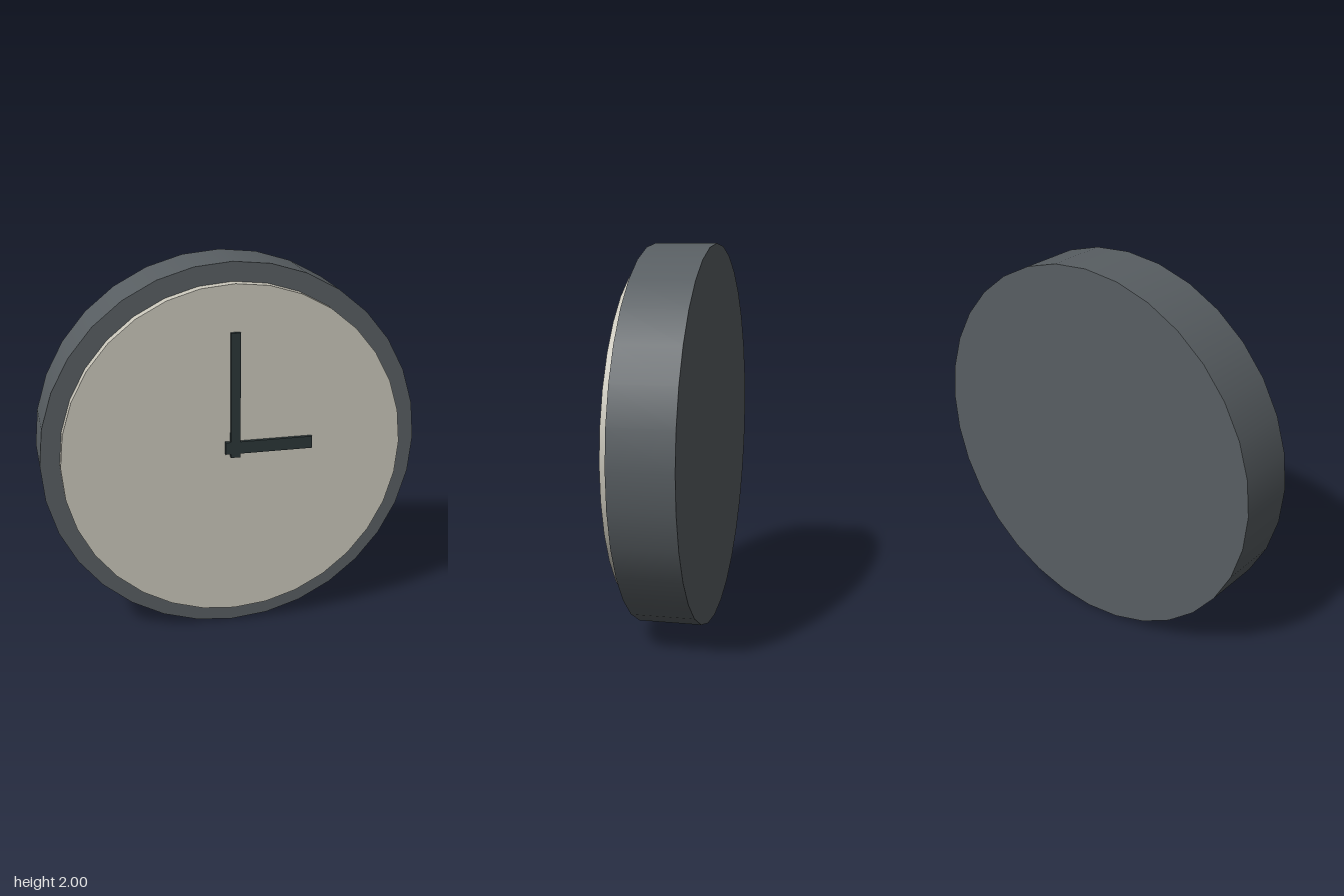
import * as THREE from 'three';

export function createModel() {
  const clock = new THREE.Group();
  clock.name = 'wallClock';

  const material = (name, color) => {
    const m = new THREE.MeshStandardMaterial({ color });
    m.name = name;
    return m;
  };
  const slate = material('slateGrey', 0x585e62);
  const cream = material('cream', 0xc9c6ba);
  const dark = material('darkSlate', 0x2b3638);

  const add = (name, geometry, mat, x, y, z) => {
    const mesh = new THREE.Mesh(geometry, mat);
    mesh.name = name;
    mesh.position.set(x, y, z);
    clock.add(mesh);
  };

  // Round disc facing the front, between two depths
  const disc = (name, radius, back, front, mat) => {
    const g = new THREE.CylinderGeometry(radius, radius, front - back, 32).rotateX(Math.PI / 2);
    add(name, g, mat, 0, 1, (back + front) / 2);
  };

  // Flat bar given by its edges, lying on the dial
  const hand = (name, x0, x1, y0, y1, front) => {
    const back = 0.17;
    const g = new THREE.BoxGeometry(x1 - x0, y1 - y0, front - back);
    add(name, g, dark, (x0 + x1) / 2, (y0 + y1) / 2, (back + front) / 2);
  };

  // Case and raised dial
  disc('case', 1, -0.2, 0.125, slate);
  disc('dial', 0.9, 0.115, 0.18, cream);

  // Hands at three o'clock
  hand('minuteHand', -0.025, 0.025, 0.99, 1.655, 0.2);
  hand('hourHand', -0.053, 0.41, 1.01, 1.075, 0.199);

  return clock;
}
